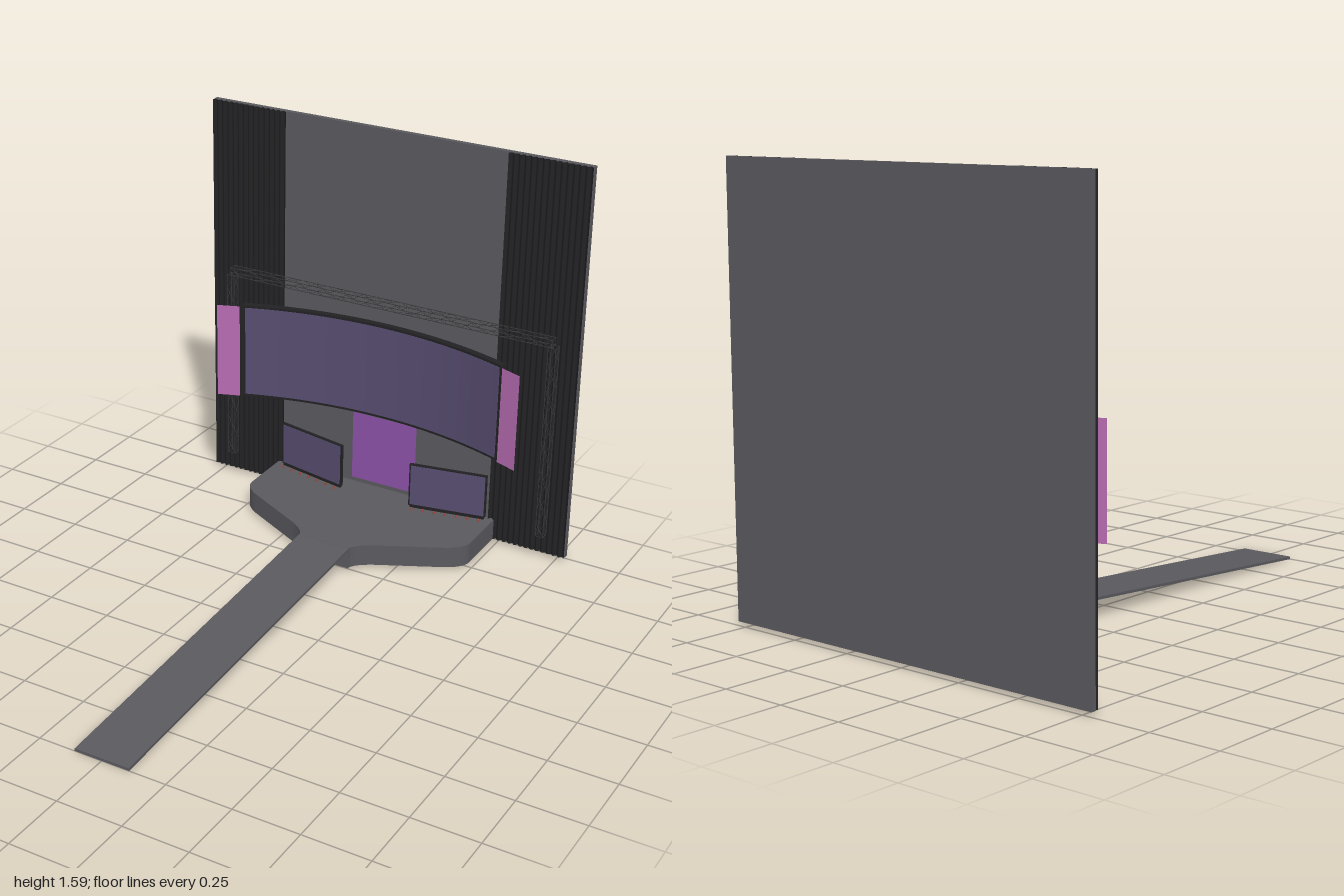
import * as THREE from 'three';

const mat = (color, extra = {}) => {
  const m = new THREE.MeshStandardMaterial({ color, ...extra });
  return m;
};

export function createModel() {
  const root = new THREE.Group();
  const grey = mat(0x5a595e);
  const dark = mat(0x222224);
  const steel = mat(0x3a3a3c);
  const screenMat = mat(0x574d70);
  const pink = mat(0xb86cb2, { side: THREE.DoubleSide });
  const purple = mat(0x8c52a8, { side: THREE.DoubleSide });
  const red = mat(0x9a4a40);

  const add = (name, geo, material, x = 0, y = 0, z = 0, parent = root) => {
    const mesh = new THREE.Mesh(geo, material);
    mesh.name = name;
    mesh.position.set(x, y, z);
    parent.add(mesh);
    return mesh;
  };
  // Plan outline (x, -z) raised upwards between two heights
  const raise = (shape, y0, y1, curveSegments = 12) =>
    new THREE.ExtrudeGeometry(shape, { depth: y1 - y0, bevelEnabled: false, curveSegments })
      .rotateX(-Math.PI / 2).translate(0, y0, 0);

  // Back wall
  add('backWall', new THREE.BoxGeometry(1.57, 1.575, 0.02), grey, 0, 0.8025, -0.99);

  // Pleated curtains either side
  const folds = 14, curtainWidth = 0.325;
  for (const s of [-1, 1]) {
    const geo = new THREE.PlaneGeometry(curtainWidth, 1.575, folds * 8, 1);
    const p = geo.attributes.position;
    for (let i = 0; i < p.count; i++) {
      p.setZ(i, 0.005 * Math.cos((p.getX(i) / curtainWidth + 0.5) * folds * 2 * Math.PI));
    }
    geo.computeVertexNormals();
    add(s < 0 ? 'rightCurtain' : 'leftCurtain', geo, mat(0x222224, { side: THREE.DoubleSide }),
      s * 0.6225, 0.8025, -0.974);
  }

  // Stage deck, tapering to the width of the catwalk
  const deck = new THREE.Shape();
  deck.moveTo(-0.485, 0.98);
  deck.lineTo(-0.485, 0.76);
  deck.quadraticCurveTo(-0.485, 0.715, -0.42, 0.677);
  deck.lineTo(-0.18, 0.555);
  deck.quadraticCurveTo(-0.108, 0.515, -0.108, 0.48);
  deck.lineTo(0.108, 0.48);
  deck.quadraticCurveTo(0.108, 0.515, 0.18, 0.555);
  deck.lineTo(0.42, 0.677);
  deck.quadraticCurveTo(0.485, 0.715, 0.485, 0.76);
  deck.lineTo(0.485, 0.98);
  add('stage', raise(deck, 0.015, 0.1), grey);

  // Sloping catwalk: side profile extruded across its width
  const slope = new THREE.Shape();
  slope.moveTo(-1, 0);
  slope.lineTo(0.49, 0.09);
  slope.lineTo(0.49, 0.1);
  slope.lineTo(-1, 0.01);
  const ramp = new THREE.ExtrudeGeometry(slope, { depth: 0.216, bevelEnabled: false });
  add('catwalk', ramp.rotateY(Math.PI / 2).translate(-0.108, 0, 0), grey);

  // Curved main screen: frame plus a thin lit face
  const arcBand = (r0, r1, a) => {
    const shape = new THREE.Shape();
    shape.absarc(0, -0.655, r1, Math.PI / 2 - a, Math.PI / 2 + a, false);
    shape.absarc(0, -0.655, r0, Math.PI / 2 + a, Math.PI / 2 - a, true);
    return shape;
  };
  add('mainScreenFrame', raise(arcBand(1.56, 1.586, 0.362), 0.45, 0.84, 20), dark);
  add('mainScreenFace', raise(arcBand(1.558, 1.561, 0.356), 0.46, 0.83, 20), screenMat);

  // Flat wing panels continuing the curve
  for (const s of [-1, 1]) {
    add(s < 0 ? 'rightWingPanel' : 'leftWingPanel', new THREE.PlaneGeometry(0.09, 0.385), pink,
      s * 0.602, 0.645, -0.776).rotation.y = -s * 0.36;
  }

  // Centre panel at the back of the stage
  add('centrePanel', new THREE.PlaneGeometry(0.28, 0.29), purple, 0, 0.27, -0.965);

  // Angled low screens with a row of footlights
  for (const s of [-1, 1]) {
    const g = new THREE.Group();
    g.name = s < 0 ? 'rightLowScreen' : 'leftLowScreen';
    g.position.set(s * 0.302, 0, -0.928);
    g.rotation.y = s * 0.19;
    add('frame', new THREE.BoxGeometry(0.31, 0.18, 0.012), dark, 0, 0.2, 0, g);
    add('face', new THREE.BoxGeometry(0.298, 0.17, 0.002), screenMat, 0, 0.2, 0.0065, g);
    add('base', new THREE.BoxGeometry(0.3, 0.012, 0.01), dark, 0, 0.105, 0, g);
    for (let i = 0; i < 7; i++) {
      add('footlight', new THREE.CylinderGeometry(0.004, 0.005, 0.01, 8), red,
        (i - 3) * 0.045, 0.105, 0.025, g);
    }
    root.add(g);
  }

  // Lattice truss: four chords, frames and zigzag braces
  const rod = (a, b, r, parent) => {
    const d = b.clone().sub(a);
    const mesh = add('rod', new THREE.CylinderGeometry(r, r, d.length(), 5), steel, 0, 0, 0, parent);
    mesh.position.copy(a).add(b).multiplyScalar(0.5);
    mesh.quaternion.setFromUnitVectors(new THREE.Vector3(0, 1, 0), d.normalize());
  };
  const truss = (name, length, bays) => {
    const g = new THREE.Group();
    g.name = name;
    const h = 0.0155, step = length / bays;
    const corners = [[-h, -h], [h, -h], [h, h], [-h, h]];
    const at = (c, y) => new THREE.Vector3(corners[c % 4][0], y, corners[c % 4][1]);
    for (let c = 0; c < 4; c++) {
      rod(at(c, 0), at(c, length), 0.0015, g);
      for (const y of [0, length]) rod(at(c, y), at(c + 1, y), 0.001, g);
      for (let i = 0; i < bays; i++) {
        const flip = i % 2;
        rod(at(c + flip, i * step), at(c + 1 - flip, (i + 1) * step), 0.001, g);
      }
    }
    root.add(g);
    return g;
  };
  for (const s of [-1, 1]) {
    truss(s < 0 ? 'rightTrussLeg' : 'leftTrussLeg', 0.79, 14).position.set(s * 0.69, 0.1, -0.952);
  }
  const beam = truss('trussBeam', 1.38, 26);
  beam.position.set(0.69, 0.907, -0.952);
  beam.rotation.z = Math.PI / 2;

  return root;
}
